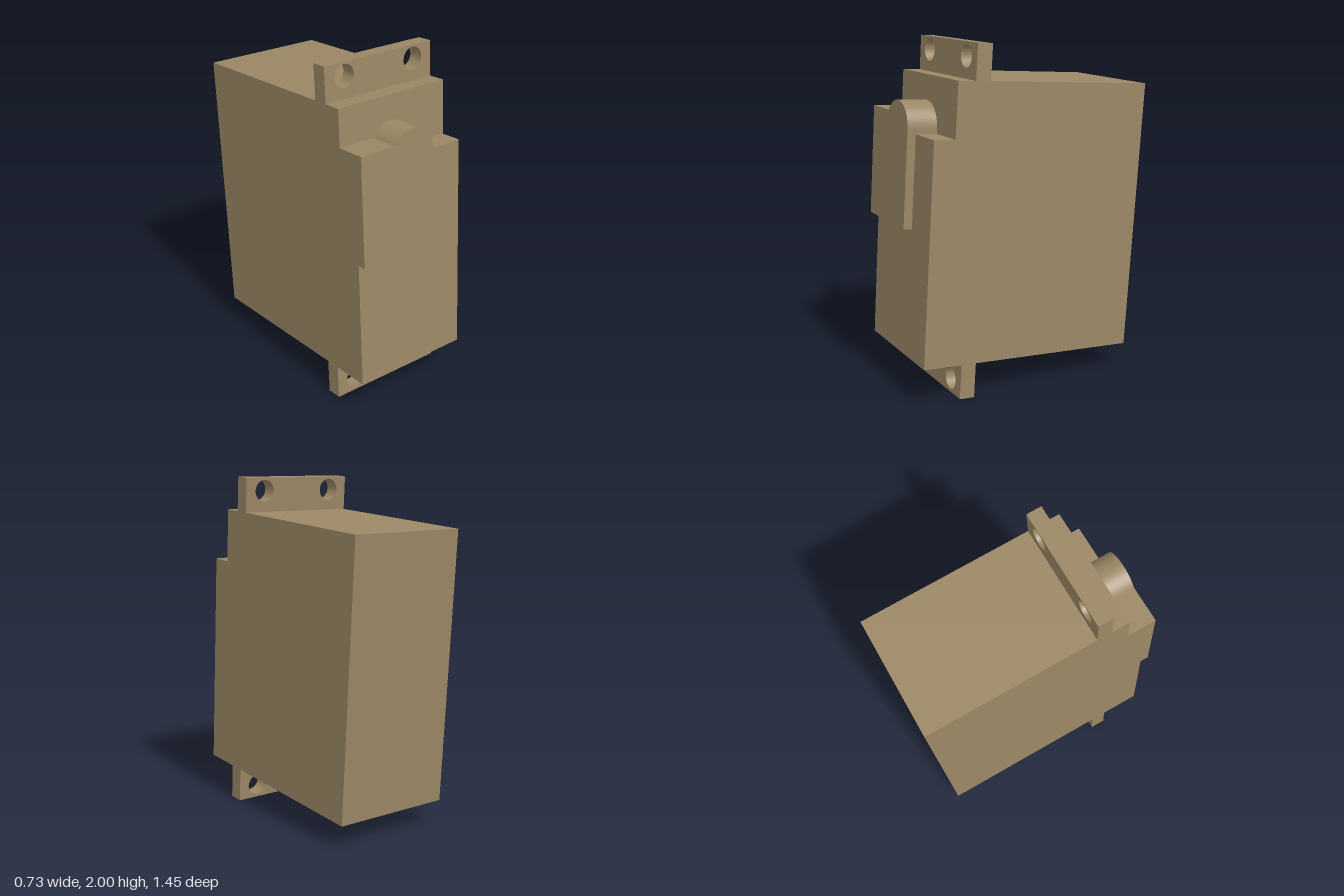
import * as THREE from 'three';

export function createModel() {
  const model = new THREE.Group();
  const tan = new THREE.MeshStandardMaterial({ color: 0x9b8765 });
  tan.name = 'tan';

  // The whole servo leans back slightly; its origin is the lower back edge
  const servo = new THREE.Group();
  servo.name = 'servo';
  servo.position.set(0, 0.138, -0.615);
  servo.rotation.x = -0.0655;
  model.add(servo);

  const W = 0.363; // half width

  function add(name, geometry) {
    const mesh = new THREE.Mesh(geometry, tan);
    mesh.name = name;
    servo.add(mesh);
  }
  const extrude = (shape, depth) =>
    new THREE.ExtrudeGeometry(shape, { depth, bevelEnabled: false, curveSegments: 24 });

  // Case: side profile with a step at the upper front, extruded across the width
  const side = new THREE.Shape([
    [0, 0], [1.343, 0], [1.343, 1.277], [1.217, 1.277], [1.217, 1.592], [0, 1.592],
  ].map(([z, y]) => new THREE.Vector2(z, y)));
  add('case', extrude(side, 2 * W).rotateY(-Math.PI / 2).translate(W, 0, 0));

  // Mounting tabs with two screw holes each
  function tab(name, y0, y1, holeY) {
    const s = new THREE.Shape();
    s.moveTo(-W, y0).lineTo(W, y0).lineTo(W, y1).lineTo(-W, y1).closePath();
    for (const x of [-0.235, 0.235]) {
      s.holes.push(new THREE.Path().absarc(x, holeY, 0.064, 0, Math.PI * 2, true));
    }
    add(name, extrude(s, 0.09).translate(0, 0, 1.022));
  }
  tab('upperTab', 1.592, 1.793, 1.716);
  tab('lowerTab', -0.203, 0, -0.12);

  // Front gear cover: flat plate with a round hub rising from its top edge
  const cx = -0.017, cy = 1.304, r = 0.145, shoulder = 1.379;
  const cover = new THREE.Shape();
  cover.moveTo(-W, 0.744).lineTo(0.125, 0.744).lineTo(cx + r, cy);
  cover.absarc(cx, cy, r, 0, Math.PI - Math.asin((shoulder - cy) / r), false);
  cover.lineTo(-W, shoulder).closePath();
  add('gearCover', extrude(cover, 0.183).translate(0, 0, 1.21));

  return model;
}
